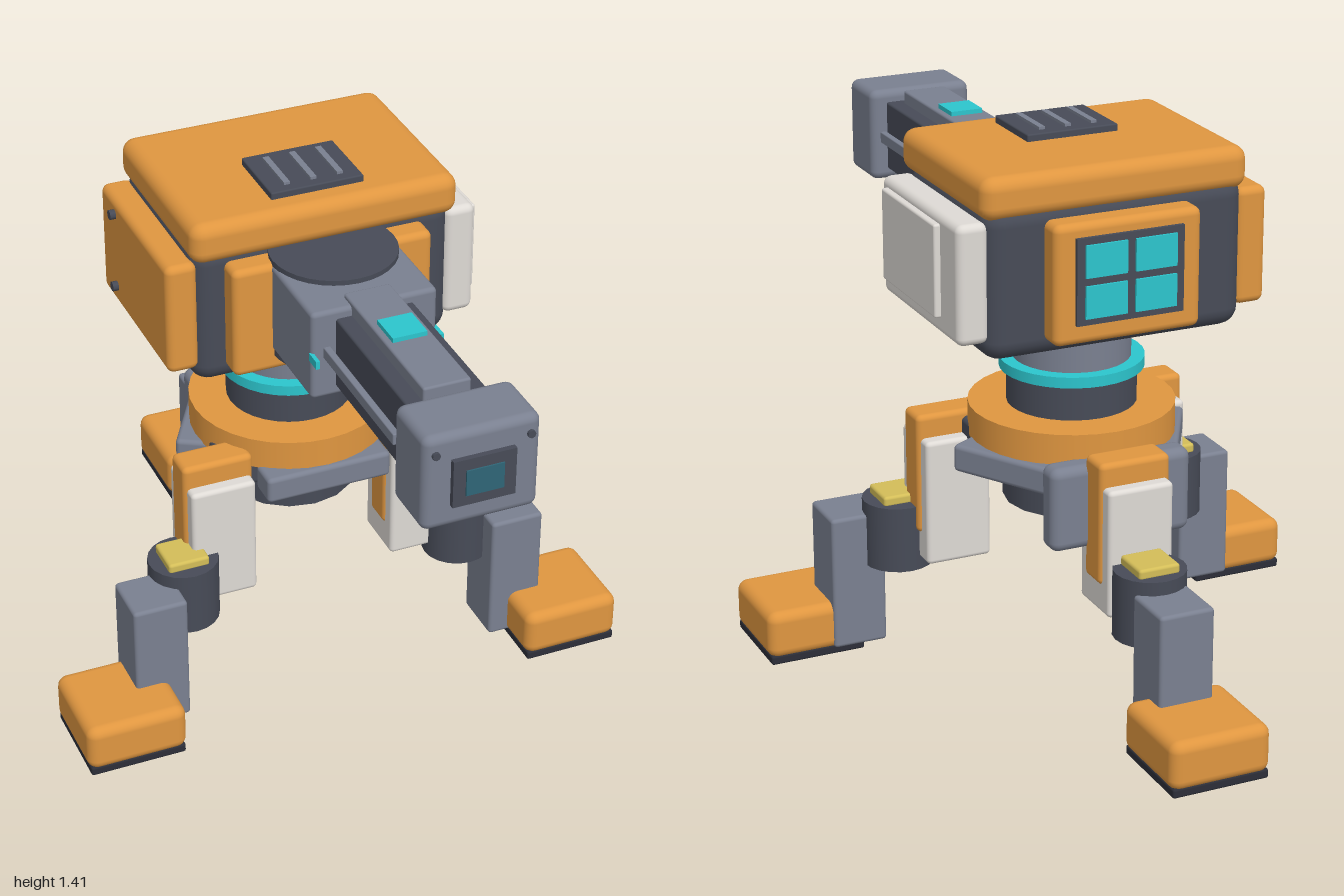
import * as THREE from 'three';
import { RoundedBoxGeometry } from 'three/addons/geometries/RoundedBoxGeometry.js';

const paint = (name, color) => {
  const m = new THREE.MeshStandardMaterial({ color });
  m.name = name;
  return m;
};

export function createModel() {
  const orange = paint('orange paint', 0xdf9640);
  const white = paint('off white armour', 0xdedad5);
  const grey = paint('grey metal', 0x7a8090);
  const dark = paint('dark metal', 0x474b57);
  const sole = paint('black rubber', 0x2c2e38);
  const cyan = paint('cyan light', 0x2cc5cd);
  const yellow = paint('yellow cap', 0xd3bd58);
  const glass = paint('dark teal glass', 0x2f6576);

  const model = new THREE.Group();
  model.name = 'walkingTurret';
  const group = (name) => {
    const g = new THREE.Group();
    g.name = name;
    model.add(g);
    return g;
  };

  // Box from its limits; r > 0 rounds the edges
  const box = (parent, name, mat, [x0, x1], [y0, y1], [z0, z1], r = 0) => {
    const s = [x1 - x0, y1 - y0, z1 - z0];
    const geo = r > 0 ? new RoundedBoxGeometry(...s, 3, r) : new THREE.BoxGeometry(...s);
    const mesh = new THREE.Mesh(geo, mat);
    mesh.name = name;
    mesh.position.set((x0 + x1) / 2, (y0 + y1) / 2, (z0 + z1) / 2);
    parent.add(mesh);
    return mesh;
  };
  // Upright cylinder from its bottom and top
  const drum = (parent, name, mat, r, y0, y1, x, z, sides = 32) => {
    const mesh = new THREE.Mesh(new THREE.CylinderGeometry(r, r, y1 - y0, sides), mat);
    mesh.name = name;
    mesh.position.set(x, (y0 + y1) / 2, z);
    parent.add(mesh);
    return mesh;
  };
  const around = (c, half) => [c - half, c + half];

  const PZ = -0.155; // turning axis of the turret

  // Base: hub, collar, neck
  const base = group('base');
  drum(base, 'hub', dark, 0.175, 0.455, 0.64, 0, PZ, 16);
  drum(base, 'collar', orange, 0.263, 0.63, 0.713, 0, PZ);
  drum(base, 'turntable', dark, 0.165, 0.71, 0.81, 0, PZ);
  drum(base, 'lightRing', cyan, 0.184, 0.805, 0.833, 0, PZ);
  drum(base, 'neck', grey, 0.15, 0.83, 0.95, 0, PZ);
  box(base, 'rearPack', grey, [-0.19, 0.19], [0.43, 0.65], [-0.452, -0.377], 0.025);
  for (let i = 0; i < 3; i++) {
    const mount = new THREE.Group();
    mount.name = 'hubGuardMount';
    mount.position.z = PZ;
    mount.rotation.y = (i * Math.PI * 2) / 3;
    base.add(mount);
    box(mount, 'hubGuard', grey, [-0.17, 0.17], [0.562, 0.634], [0.19, 0.275], 0.012);
  }

  // Three legs, spread evenly but kept square to the body
  ['leftLeg', 'rightLeg', 'rearLeg'].forEach((name, i) => {
    const leg = group(name);
    const a = [Math.PI / 6, (Math.PI * 5) / 6, -Math.PI / 2][i];
    const at = (d) => [Math.cos(a) * d, PZ + Math.sin(a) * d];
    const part = (label, mat, d, w, y, depth, r) => {
      const [x, z] = at(d);
      box(leg, label, mat, around(x, w / 2), y, around(z, depth / 2), r);
    };
    part('hip', dark, 0.21, 0.14, [0.56, 0.66], 0.14, 0.015);
    part('thigh', orange, 0.322, 0.19, [0.357, 0.677], 0.09, 0.015);
    part('thighArmour', white, 0.32, 0.175, [0.282, 0.617], 0.162, 0.012);
    const [kx, kz] = at(0.448);
    drum(leg, 'knee', dark, 0.092, 0.25, 0.425, kx, kz, 20);
    part('kneeCap', yellow, 0.45, 0.11, [0.42, 0.448], 0.108, 0.008);
    part('shin', grey, 0.578, 0.145, [0.03, 0.39], 0.15, 0.01);
    part('foot', orange, 0.709, 0.266, [0.025, 0.153], 0.266, 0.028);
    part('sole', sole, 0.709, 0.255, [0.01, 0.035], 0.255, 0.006);
  });

  // Turret housing
  const turret = group('turret');
  box(turret, 'housing', dark, [-0.345, 0.345], [0.935, 1.32], [-0.415, 0.08], 0.05);
  box(turret, 'roof', orange, [-0.352, 0.352], [1.288, 1.396], [-0.418, 0.104], 0.035);
  box(turret, 'frontPlate', orange, [-0.264, 0.264], [0.978, 1.277], [0.05, 0.14], 0.018);
  box(turret, 'rightPanel', orange, [-0.412, -0.33], [0.985, 1.285], [-0.4, 0.075], 0.02);
  box(turret, 'leftPanel', white, [0.33, 0.412], [0.985, 1.287], [-0.4, 0.075], 0.02);
  box(turret, 'leftHatch', white, [0.4, 0.428], [1.03, 1.265], [-0.295, 0.038], 0.006);
  for (const y of [1.04, 1.248]) {
    const bolt = drum(turret, 'panelBolt', dark, 0.013, -0.01, 0.01, 0, 0, 8);
    bolt.rotation.z = Math.PI / 2;
    bolt.position.set(-0.417, y, -0.295);
  }

  // Rear window with four panes
  box(turret, 'rearPanel', orange, [-0.195, 0.195], [0.976, 1.28], [-0.475, -0.39], 0.02);
  box(turret, 'windowFrame', dark, [-0.142, 0.142], [1.028, 1.246], [-0.485, -0.46]);
  for (const x of [-0.066, 0.066]) {
    for (const y of [1.086, 1.188]) {
      box(turret, 'windowPane', cyan, around(x, 0.055), around(y, 0.041), [-0.491, -0.484]);
    }
  }

  // Roof vent
  box(turret, 'vent', dark, [-0.122, 0.122], [1.39, 1.414], [-0.16, 0.037], 0.004);
  for (const x of [-0.07, 0, 0.07]) {
    box(turret, 'ventRib', grey, around(x, 0.008), [1.41, 1.421], [-0.13, 0.01]);
  }

  // Gun
  const gun = group('gun');
  drum(gun, 'gunPivot', dark, 0.16, 1.022, 1.288, 0, 0.133);
  box(gun, 'mantlet', grey, [-0.163, 0.163], [1.037, 1.275], [0.12, 0.385], 0.012);
  box(gun, 'barrel', dark, [-0.1, 0.1], [1.062, 1.25], [0.37, 0.84], 0.006);
  box(gun, 'topRail', grey, [-0.06, 0.06], [1.245, 1.285], [0.335, 0.79], 0.006);
  box(gun, 'topLight', cyan, [-0.044, 0.044], [1.283, 1.297], [0.495, 0.585]);
  for (const s of [-1, 1]) {
    box(gun, 'sideRail', grey, around(s * 0.123, 0.009), [1.148, 1.178], [0.375, 0.787], 0.003);
    box(gun, 'sideLight', cyan, around(s * 0.161, 0.005), [1.145, 1.166], [0.375, 0.42]);
    const bolt = drum(gun, 'muzzleBolt', dark, 0.01, -0.008, 0.008, 0, 0, 8);
    bolt.rotation.x = Math.PI / 2;
    bolt.position.set(s * 0.117, 1.238, 0.98);
  }
  box(gun, 'muzzle', grey, [-0.145, 0.145], [1.032, 1.283], [0.815, 0.98], 0.022);
  box(gun, 'muzzleFrame', dark, [-0.078, 0.078], [1.094, 1.217], [0.96, 0.994]);
  box(gun, 'muzzleLens', glass, [-0.047, 0.047], [1.121, 1.188], [0.99, 0.998]);

  return model;
}
